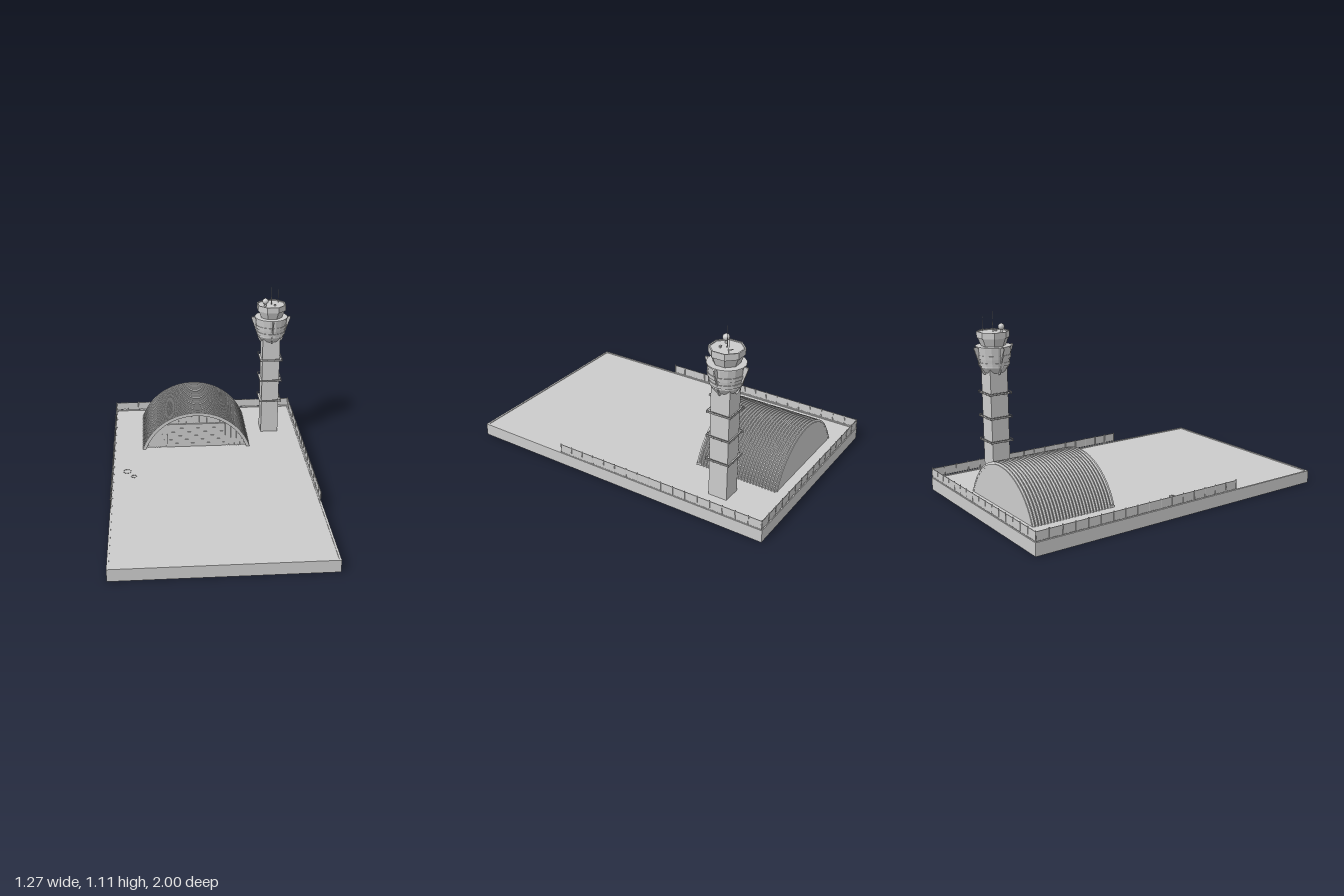
import * as THREE from 'three';

export function createModel() {
  const model = new THREE.Group();
  const grey = new THREE.MeshStandardMaterial({ color: 0xcccccc, side: THREE.DoubleSide });
  grey.name = 'concreteGrey';

  const add = (parent, name, geometry, x = 0, y = 0, z = 0) => {
    const mesh = new THREE.Mesh(geometry, grey);
    mesh.name = name;
    mesh.position.set(x, y, z);
    parent.add(mesh);
    return mesh;
  };
  const box = (parent, name, w, h, d, x, y, z) =>
    add(parent, name, new THREE.BoxGeometry(w, h, d), x, y, z);
  const group = (name, x = 0, y = 0, z = 0) => {
    const g = new THREE.Group();
    g.name = name;
    g.position.set(x, y, z);
    model.add(g);
    return g;
  };
  const flat = (geometry) => {
    const g = geometry.toNonIndexed();
    g.computeVertexNormals();
    return g;
  };

  // Ground slab with a low kerb
  const GROUND = 0.073;
  const ground = group('ground');
  box(ground, 'slab', 1.27, GROUND, 2, 0, GROUND / 2, 0);
  for (const s of [-1, 1]) {
    box(ground, 'sideKerb', 0.012, 0.004, 2, s * 0.629, GROUND + 0.002, 0);
    box(ground, 'endKerb', 1.246, 0.004, 0.012, 0, GROUND + 0.002, s * 0.994);
  }

  // Fence: panels, rails and posts on three sides
  const fence = group('fence');
  const fenceRun = (x0, z0, x1, z1, count) => {
    const run = new THREE.Group();
    run.name = 'fenceRun';
    const length = Math.hypot(x1 - x0, z1 - z0);
    run.position.set(x0, GROUND, z0);
    run.rotation.y = Math.atan2(-(z1 - z0), x1 - x0);
    fence.add(run);
    box(run, 'panel', length, 0.052, 0.002, length / 2, 0.034, 0);
    for (const y of [0.009, 0.061]) box(run, 'rail', length, 0.003, 0.004, length / 2, y, 0);
    for (let i = 0; i <= count; i++) {
      add(run, 'post', new THREE.CylinderGeometry(0.003, 0.003, 0.068, 6), length * i / count, 0.034, 0);
    }
  };
  fenceRun(-0.631, 0.38, -0.631, -0.995, 17);
  fenceRun(0.631, 0.38, 0.631, -0.995, 17);
  fenceRun(-0.631, -0.995, 0.631, -0.995, 16);

  // Hangar: corrugated vault, gable walls and door
  const R = 0.381, CENTRE = -0.049, BACK = -0.9, FRONT = -0.37, RIBS = 27;
  const hangar = group('hangar', -0.08, CENTRE, 0);
  const profile = [];
  for (let i = 0; i < RIBS; i++) {
    const pitch = (FRONT - BACK) / RIBS;
    [[0, 0.011], [0.25, 0.011], [0.5, 0], [0.8, 0]].forEach(([t, dip]) =>
      profile.push(new THREE.Vector2(R - dip, BACK + (i + t) * pitch)));
  }
  profile.push(new THREE.Vector2(R, FRONT), new THREE.Vector2(R - 0.022, FRONT),
    new THREE.Vector2(R - 0.022, BACK), new THREE.Vector2(R - 0.011, BACK));
  const half = Math.acos((GROUND - CENTRE) / R);
  const vault = new THREE.LatheGeometry(profile, 40, Math.PI - half, half * 2);
  vault.rotateX(Math.PI / 2);
  add(hangar, 'corrugatedRoof', flat(vault));

  const floor = GROUND - CENTRE;
  const gable = (r) => {
    const a = Math.asin(floor / r);
    const shape = new THREE.Shape();
    shape.absarc(0, 0, r, a, Math.PI - a, false);
    shape.closePath();
    return new THREE.ExtrudeGeometry(shape, { depth: 0.006, bevelEnabled: false, curveSegments: 40 });
  };
  add(hangar, 'backWall', gable(R - 0.012), 0, 0, BACK + 0.001);
  add(hangar, 'frontWall', gable(R - 0.02), 0, 0, FRONT - 0.036);
  for (let x = -0.325; x < 0.33; x += 0.0125) {
    const top = Math.sqrt((R - 0.022) ** 2 - (Math.abs(x) + 0.004) ** 2);
    const bottom = Math.abs(x) < 0.195 ? 0.245 - CENTRE : floor;
    if (top > bottom) {
      box(hangar, 'wallRib', 0.007, top - bottom, 0.008, x, (top + bottom) / 2, FRONT - 0.026);
    }
  }
  box(hangar, 'door', 0.39, 0.167, 0.016, 0, floor + 0.086, FRONT - 0.026);
  for (let i = 1; i < 6; i++) {
    box(hangar, 'doorSlat', 0.38, 0.002, 0.003, 0, floor + i * 0.028, FRONT - 0.018);
  }
  for (const s of [-1, 1]) box(hangar, 'archFoot', 0.02, 0.014, 0.03, s * 0.348, floor + 0.007, FRONT - 0.016);

  // Control tower shaft with railed collars
  const tower = group('tower', 0.44, 0, -0.643);
  box(tower, 'shaft', 0.117, 0.71, 0.117, 0, GROUND + 0.355, 0);
  for (const y of [0.307, 0.457, 0.607]) {
    box(tower, 'collar', 0.146, 0.004, 0.146, 0, y, 0);
    for (let i = 0; i < 4; i++) {
      const side = new THREE.Group();
      side.name = 'collarRail';
      side.rotation.y = i * Math.PI / 2;
      tower.add(side);
      box(side, 'rail', 0.15, 0.003, 0.003, 0, y + 0.012, 0.074);
      for (const x of [-0.074, -0.025, 0.025]) box(side, 'railPost', 0.003, 0.016, 0.003, x, y + 0.005, 0.074);
    }
  }

  // Eight-sided prism whose flat side faces the front
  const turned = (name, points, sides) => add(tower, name, flat(new THREE.LatheGeometry(
    points.map(([r, y]) => new THREE.Vector2(r, y)), sides, Math.PI / sides)));
  turned('lowerDeck', [[0, 0.74], [0.066, 0.74], [0.09, 0.775], [0.09, 0.785], [0.096, 0.785],
    [0.098, 0.805], [0.094, 0.805], [0.098, 0.828], [0.103, 0.828], [0.105, 0.85],
    [0.101, 0.85], [0.106, 0.895], [0.11, 0.895], [0.11, 0.902], [0, 0.902]], 16);
  turned('upperCab', [[0.074, 0.9], [0.094, 0.952], [0.1, 0.952], [0.1, 0.99],
    [0.092, 0.99], [0.092, 0.984], [0, 0.984]], 8);

  // Brackets flaring out under the deck
  const fin = new THREE.Shape([[0.055, 0.73], [0.072, 0.73], [0.08, 0.742], [0.131, 0.89],
    [0.131, 0.9], [0.1, 0.9], [0.055, 0.76]].map(([x, y]) => new THREE.Vector2(x, y)));
  const finGeometry = new THREE.ExtrudeGeometry(fin, { depth: 0.008, bevelEnabled: false });
  finGeometry.translate(0, 0, -0.004);
  for (let i = 0; i < 4; i++) add(tower, 'bracket', finGeometry).rotation.y = i * Math.PI / 2;

  // Roof equipment
  const rod = (name, r, h, x, y, z) =>
    add(tower, name, new THREE.CylinderGeometry(r, r, h, 6), x, y + h / 2, z);
  add(tower, 'radome', new THREE.SphereGeometry(0.02, 16, 12), -0.045, 1.018, 0.033);
  rod('radomeStand', 0.008, 0.02, -0.045, 0.984, 0.033);
  rod('mast', 0.0015, 0.125, 0, 0.984, 0);
  rod('mastBase', 0.003, 0.055, 0, 0.984, 0);
  rod('sideAntenna', 0.0015, 0.088, 0.052, 0.984, -0.04);
  box(tower, 'antennaBar', 0.03, 0.004, 0.004, 0.045, 1.0, -0.045).rotation.y = -0.7;
  box(tower, 'roofBox', 0.012, 0.012, 0.01, 0.02, 0.99, 0.03);

  // Dashed rings lying on the ground
  for (const [x, z, r] of [[-0.54, -0.067, 0.024], [-0.497, 0, 0.016]]) {
    const ring = group('groundRing', x, GROUND + 0.003, z);
    for (let i = 0; i < 8; i++) {
      const arc = add(ring, 'ringSegment', new THREE.TorusGeometry(r, 0.002, 5, 4, 0.5));
      arc.rotation.set(-Math.PI / 2, 0, i * Math.PI / 4);
    }
  }
  return model;
}
